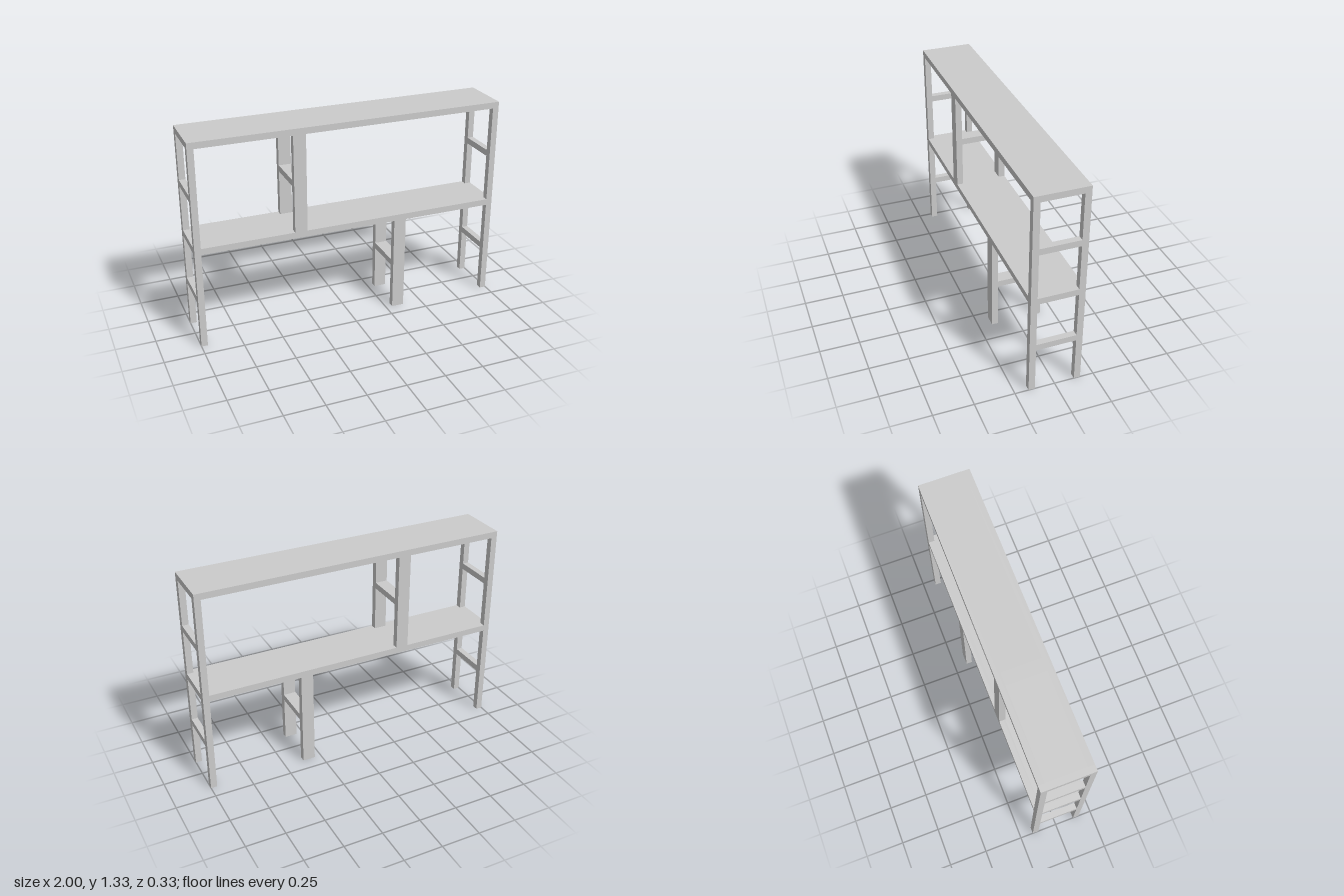
import * as THREE from 'three';

const T = 0.04;            // timber thickness
const HEIGHT = 1.333;
const MID = 0.667;         // top of the lower shelf
const DEPTH = 0.33;
const END_X = 1 - T / 2;   // centre line of the end frames
const INNER_X = 0.333;     // centre line of the inner supports
const PANEL = 0.03;        // panels are thinner than their frames

const material = new THREE.MeshStandardMaterial({ color: 0xcccccc, flatShading: true });

// Box given by its centre x, top y and centre z
function addBox(parent, name, w, h, d, x, top, z = 0) {
  const mesh = new THREE.Mesh(new THREE.BoxGeometry(w, h, d), material);
  mesh.name = name;
  mesh.position.set(x, top - h / 2, z);
  parent.add(mesh);
}

// Front and back posts joined by rungs
function ladder(name, x, width, bottom, top, rungTops) {
  const group = new THREE.Group();
  group.name = name;
  for (const side of [1, -1]) {
    addBox(group, side > 0 ? 'frontPost' : 'backPost', width, top - bottom, T,
      x, top, side * (DEPTH - T) / 2);
  }
  for (const y of rungTops) addBox(group, 'rung', width, T, DEPTH - 2 * T, x, y);
  return group;
}

// Long rails and cross rails with recessed-underside panels in each bay
function shelf(name, top, crossXs) {
  const group = new THREE.Group();
  group.name = name;
  const inner = 1 - T;
  for (const side of [1, -1]) {
    addBox(group, side > 0 ? 'frontRail' : 'backRail', 2 * inner, T, T,
      0, top, side * (DEPTH - T) / 2);
  }
  let start = -inner;
  for (const x of [...crossXs, inner + T]) {
    const end = x - T;
    addBox(group, 'panel', end - start, PANEL, DEPTH - 2 * T, (start + end) / 2, top);
    if (x < inner) addBox(group, 'crossRail', 2 * T, T, DEPTH - 2 * T, x, top);
    start = x + T;
  }
  return group;
}

export function createModel() {
  const model = new THREE.Group();
  model.name = 'shelvingUnit';

  // End frames, full height
  const endRungs = [0.335, MID, 1.0, HEIGHT];
  model.add(ladder('rightEndFrame', -END_X, T, 0, HEIGHT, endRungs));
  model.add(ladder('leftEndFrame', END_X, T, 0, HEIGHT, endRungs));

  // Staggered inner supports
  model.add(ladder('upperSupport', -INNER_X, 2 * T, MID, HEIGHT - T, [1.0]));
  model.add(ladder('lowerSupport', INNER_X, 2 * T, 0, MID - T, [0.335]));

  // Shelves
  model.add(shelf('topShelf', HEIGHT, [-INNER_X]));
  model.add(shelf('lowerShelf', MID, [-INNER_X, INNER_X]));
  return model;
}
